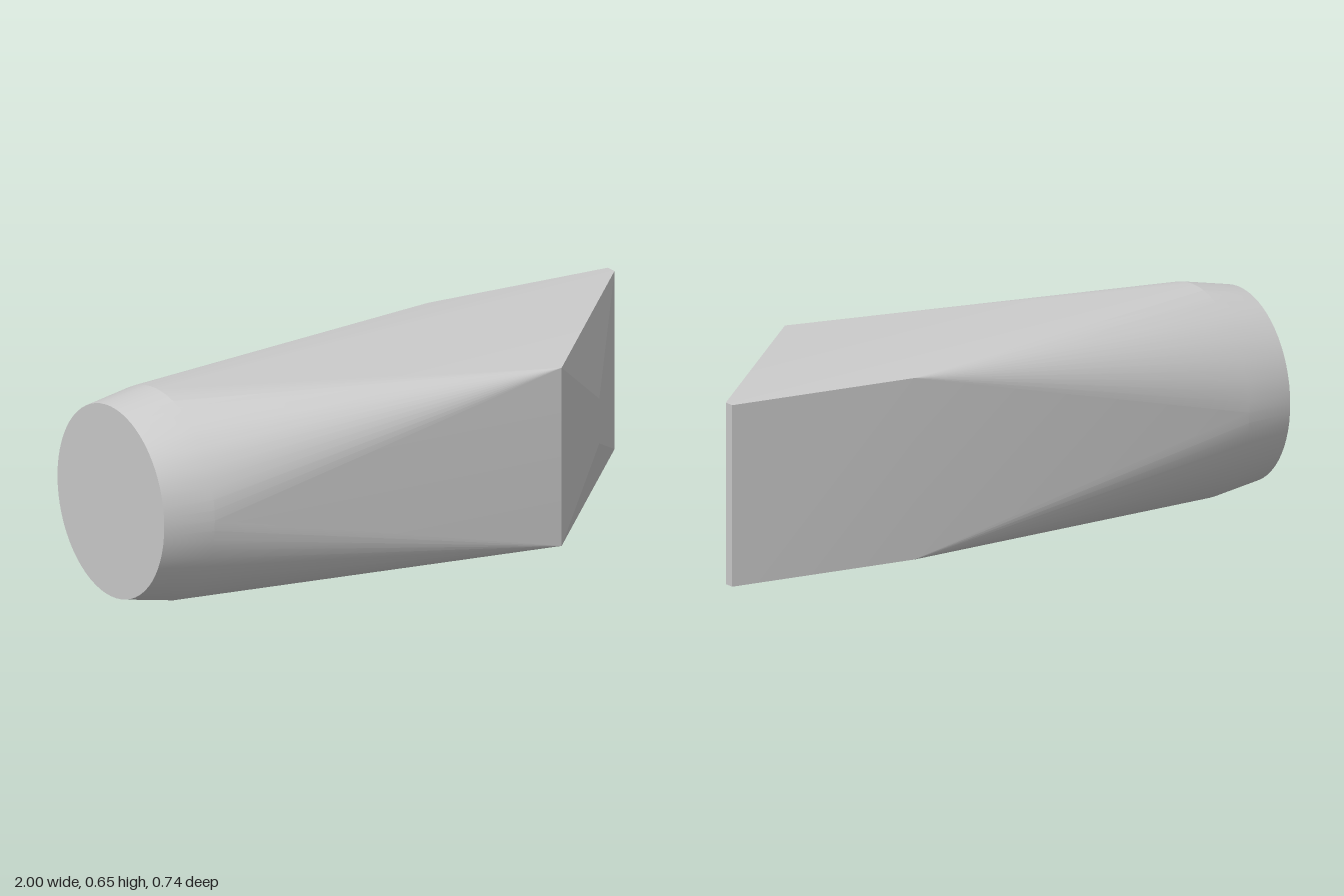
import * as THREE from 'three';
import { toCreasedNormals } from 'three/addons/utils/BufferGeometryUtils.js';
import { ConvexGeometry } from 'three/addons/geometries/ConvexGeometry.js';

const CENTER_Y = 0.326, CENTER_Z = 0.016, SEGMENTS = 64;

// Ring of points around the x axis of the round end
function ring(x, radius) {
  return Array.from({ length: SEGMENTS }, (_, i) => {
    const a = (i / SEGMENTS) * Math.PI * 2;
    return new THREE.Vector3(x, CENTER_Y + radius * Math.cos(a), CENTER_Z + radius * Math.sin(a));
  });
}

// Two points mirrored above and below the centre height
function verticalEdge(x, z, halfHeight) {
  return [1, -1].map((s) => new THREE.Vector3(x, CENTER_Y + s * halfHeight, z));
}

export function createModel() {
  const group = new THREE.Group();
  group.name = 'taperedBlock';

  const points = [
    // Round end with a slight chamfer
    ...ring(-1, 0.297),
    ...ring(-0.84, 0.326),
    // Block corners: front, back, and the blunt tip
    ...verticalEdge(0.365, 0.372, 0.279),
    ...verticalEdge(0.365, -0.372, 0.279),
    ...verticalEdge(1, -0.372, 0.279),
    ...verticalEdge(1, -0.335, 0.279),
    // Short ridge that raises the slanted end face
    ...verticalEdge(0.645, 0.14, 0.07),
  ];

  // The body is convex, so its skin is the hull of these sections
  const geometry = toCreasedNormals(new ConvexGeometry(points), 0.15);
  const body = new THREE.Mesh(geometry, new THREE.MeshStandardMaterial({ color: 0xcccccc }));
  body.name = 'body';
  group.add(body);
  return group;
}
